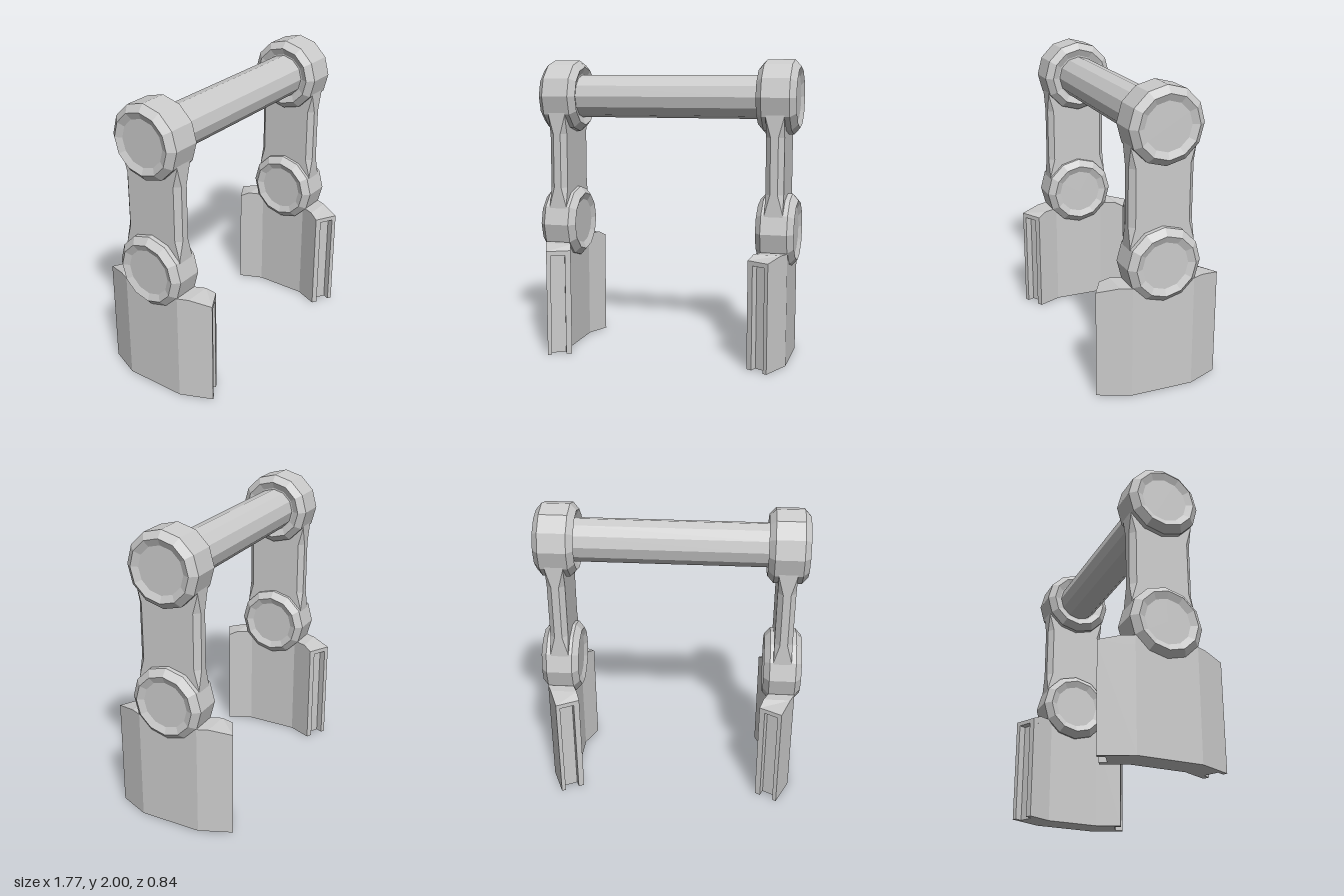
import * as THREE from 'three';

const material = new THREE.MeshStandardMaterial({ color: 0xcccccc, flatShading: true });

function mesh(name, geometry) {
  const m = new THREE.Mesh(geometry, material);
  m.name = name;
  return m;
}

// Skins rings of [x, y, z] points, counter-clockwise seen from the far end, and caps both ends
function loft(rings) {
  const out = [];
  const n = rings[0].length;
  const tri = (a, b, c) => out.push(...a, ...b, ...c);
  for (let i = 0; i < rings.length - 1; i++) {
    for (let j = 0; j < n; j++) {
      const k = (j + 1) % n;
      tri(rings[i][j], rings[i][k], rings[i + 1][k]);
      tri(rings[i][j], rings[i + 1][k], rings[i + 1][j]);
    }
  }
  const first = rings[0], last = rings[rings.length - 1];
  for (let j = 1; j < n - 1; j++) {
    tri(first[0], first[j + 1], first[j]);
    tri(last[0], last[j], last[j + 1]);
  }
  const g = new THREE.BufferGeometry();
  g.setAttribute('position', new THREE.Float32BufferAttribute(out, 3));
  g.computeVertexNormals();
  return g;
}

// Bevelled twelve-sided hub with a shallow dish in each end, lying along x
function hub(name, x, y, halfWidth) {
  const h = halfWidth;
  const profile = [
    [0, -h + 0.02], [0.155, -h + 0.02], [0.2, -h], [0.245, -h + 0.04],
    [0.245, h - 0.04], [0.2, h], [0.155, h - 0.02], [0, h - 0.02],
  ].map(([r, t]) => new THREE.Vector2(r, t));
  const m = mesh(name, new THREE.LatheGeometry(profile, 12).rotateZ(-Math.PI / 2));
  m.position.set(x, y, 0);
  return m;
}

// Flat arm with long edges chamfered between its two ends
function arm() {
  const w = 0.06, d = 0.215;
  const section = (y, n, c) => [
    [n, d], [w, c], [w, -c], [n, -d], [-n, -d], [-w, -c], [-w, c], [-n, d],
  ].map(([x, z]) => [0.75 + x, y, z]);
  return mesh('arm', loft([
    section(0.88, w, d), section(1.0, w, d), section(1.13, 0.025, 0.18),
    section(1.5, 0.025, 0.18), section(1.63, w, d), section(1.75, w, d),
  ]));
}

// Bent plate with a slot in each end, closed by a cap that slopes at the ends
function foot() {
  const g = new THREE.Group();
  g.name = 'foot';
  const slotTop = 0.69;

  const half = [
    [0.845, 0.21], [0.755, 0.42], [0.73, 0.406], [0.75, 0.361],
    [0.665, 0.314], [0.645, 0.359], [0.61, 0.34], [0.68, 0.18],
  ];
  const outline = [...half, ...half.map(([x, z]) => [x, -z]).reverse()];
  const shape = new THREE.Shape(outline.map(([x, z]) => new THREE.Vector2(x, z)));
  const plate = new THREE.ExtrudeGeometry(shape, { depth: slotTop, bevelEnabled: false });
  g.add(mesh('slottedPlate', plate.rotateX(-Math.PI / 2)));

  // inner x, inner z, outer x, outer z, top height
  const stations = [
    [0.68, 0.18, 0.845, 0.21, 0.75],
    [0.636, 0.28, 0.815, 0.28, 0.75],
    [0.61, 0.34, 0.755, 0.42, 0.72],
  ];
  const ring = (s, [xi, zi, xo, zo, top]) => [
    [xi, slotTop, s * zi], [xo, slotTop, s * zo], [xo, top, s * zo], [xi, top, s * zi],
  ];
  g.add(mesh('plateCap', loft([
    ...[...stations].reverse().map((p) => ring(-1, p)),
    ...stations.map((p) => ring(1, p)),
  ])));
  return g;
}

function leg(name) {
  const g = new THREE.Group();
  g.name = name;
  g.add(
    hub('upperHub', 0.752, 1.755, 0.132),
    arm(),
    hub('lowerHub', 0.755, 0.875, 0.127),
    foot(),
  );
  return g;
}

export function createModel() {
  const model = new THREE.Group();
  model.name = 'jointedLegs';

  const bar = mesh('crossBar', new THREE.CylinderGeometry(0.145, 0.145, 1.32, 12).rotateZ(Math.PI / 2));
  bar.position.y = 1.755;

  // The second leg is the first turned half way round
  const left = leg('leftLeg');
  const right = leg('rightLeg');
  right.rotation.y = Math.PI;

  model.add(bar, left, right);
  return model;
}
